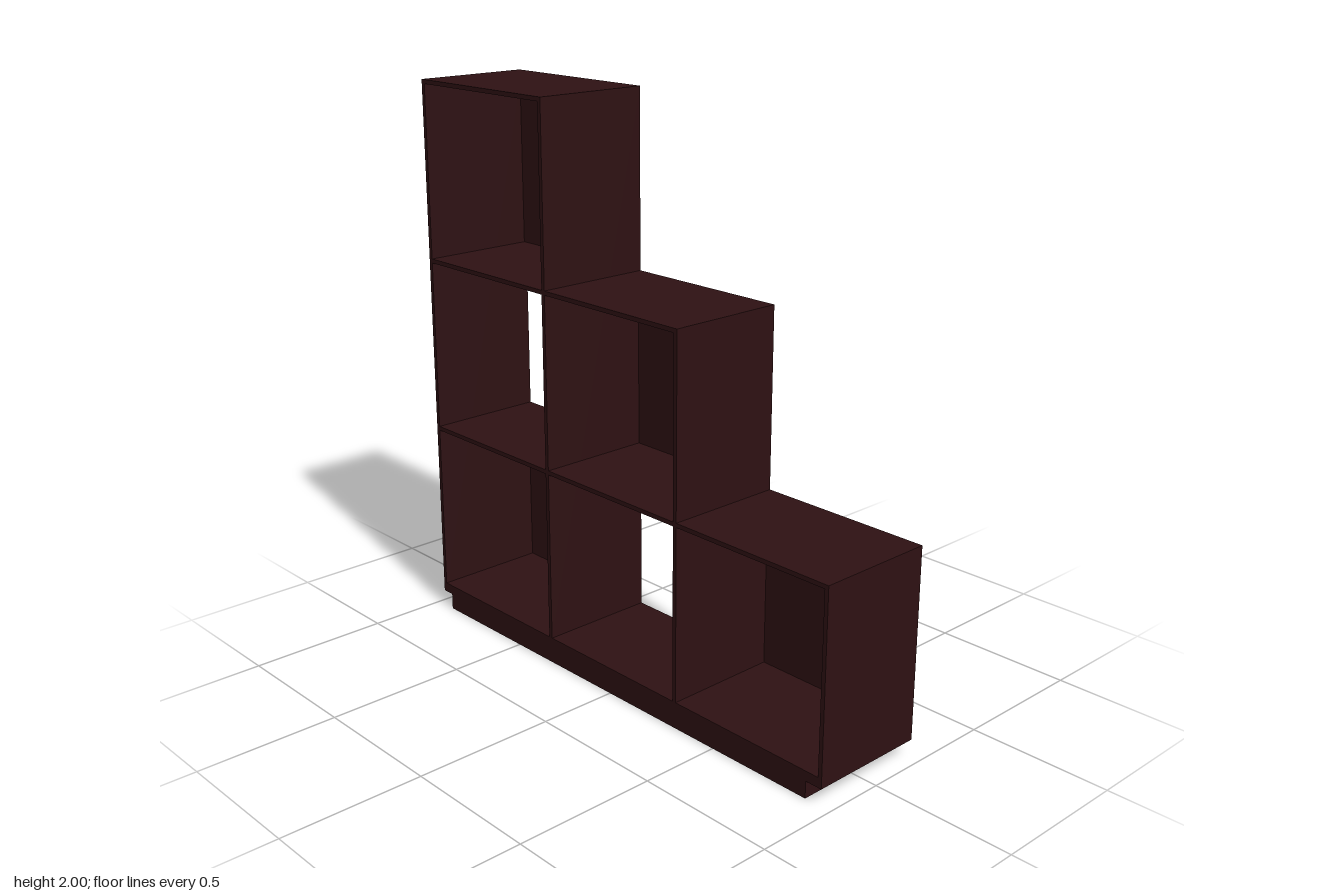
import * as THREE from 'three';

export function createModel() {
  const group = new THREE.Group();
  group.name = 'steppedShelf';
  const material = new THREE.MeshStandardMaterial({ color: 0x2e1113 });

  const depth = 0.43, board = 0.015, backThickness = 0.01;
  const pitchX = 0.637, pitchY = 0.635;
  const base = 0.06, floorTop = 0.095;
  const levels = [3, 2, 1]; // cells stacked in each column, from -x to +x
  const openCells = ['0,1', '1,0']; // column,row cells without a back

  // Box given by its lower and upper corners
  function panel(name, x0, x1, y0, y1, z0 = -depth / 2, z1 = depth / 2) {
    const mesh = new THREE.Mesh(new THREE.BoxGeometry(x1 - x0, y1 - y0, z1 - z0), material);
    mesh.position.set((x0 + x1) / 2, (y0 + y1) / 2, (z0 + z1) / 2);
    mesh.name = name;
    group.add(mesh);
  }
  const wallX = (i) => (i - 1.5) * pitchX;
  const shelfTop = (j) => floorTop + j * pitchY;

  // Plinth, set in at both ends, and the thick bottom board
  panel('plinth', -0.915, 0.9, 0, base);
  panel('bottomBoard', wallX(0) + board / 2, wallX(3) - board / 2, base, floorTop);

  // Uprights, each as tall as the taller column beside it
  for (let i = 0; i <= 3; i++) {
    const outer = i === 0 || i === 3;
    const height = shelfTop(levels[Math.max(i - 1, 0)]);
    panel(outer ? 'sidePanel' : 'divider', wallX(i) - board / 2, wallX(i) + board / 2,
      outer ? base : floorTop, height);
  }

  // Shelves above every cell, backs in the closed cells
  levels.forEach((count, i) => {
    const x0 = wallX(i) + board / 2, x1 = wallX(i + 1) - board / 2;
    for (let j = 0; j < count; j++) {
      const top = shelfTop(j + 1);
      panel(j === count - 1 ? 'topBoard' : 'shelf', x0, x1, top - board, top);
      if (!openCells.includes(`${i},${j}`)) {
        panel('backPanel', x0, x1, shelfTop(j), top - board, -depth / 2, -depth / 2 + backThickness);
      }
    }
  });
  return group;
}
